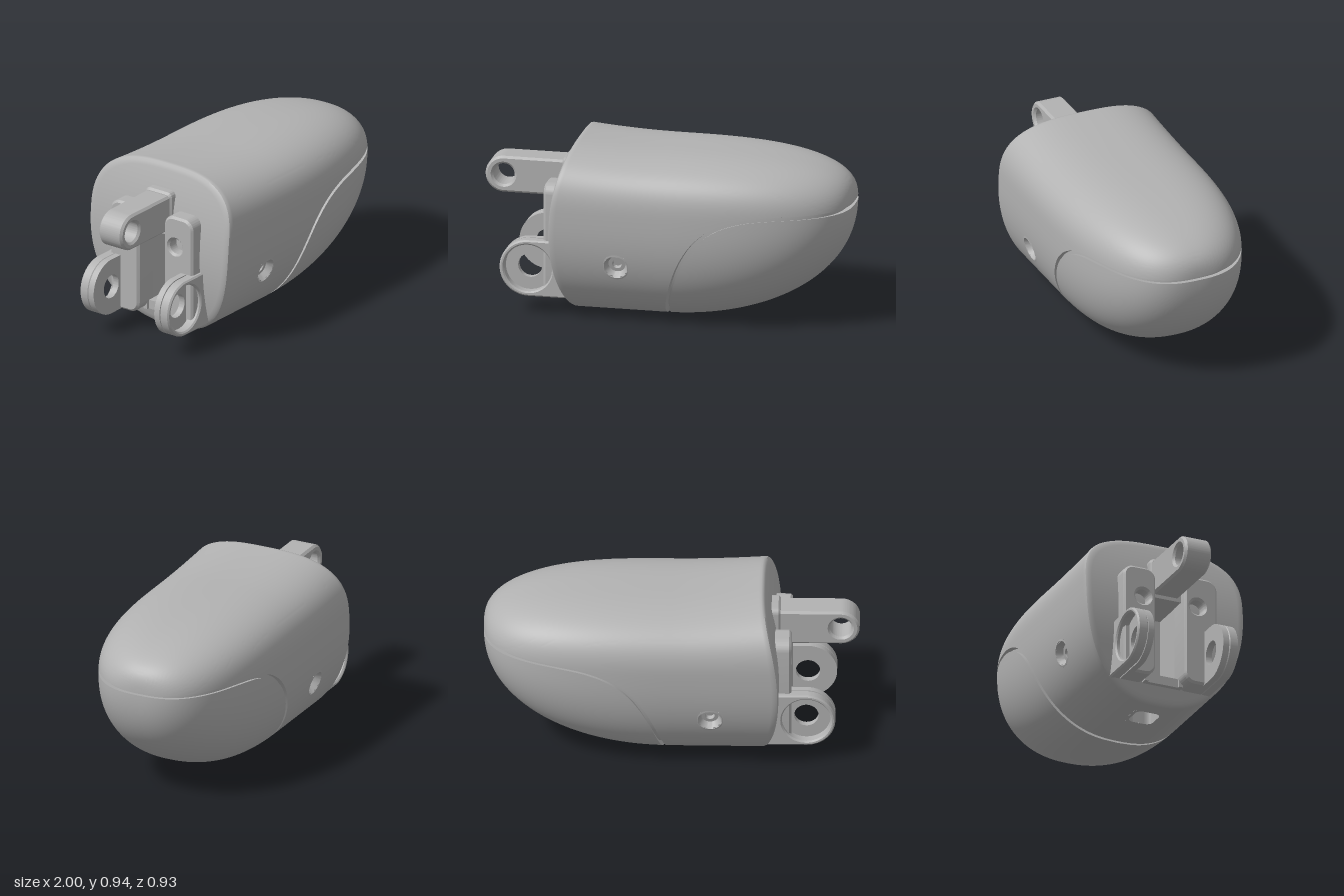
import * as THREE from 'three';
import { toCreasedNormals } from 'three/addons/utils/BufferGeometryUtils.js';

const grey = new THREE.MeshStandardMaterial({ color: 0xb2b2b2, side: THREE.DoubleSide });
grey.name = 'grey plastic';
const V = (x, y, z) => new THREE.Vector3(x, y, z);
const SEG = 160;
const H = Math.PI / 2;

// Cross-section of the fingertip at x: top, bottom, widest height, half width
function section(x) {
  const c = Math.min(Math.max(x, 0), 1);
  const top = 0.652 + 0.263 * (1 - c ** 3) ** 0.33 + (x < 0 ? 0.027 * (x / 0.48) ** 2 : 0);
  const bottom = 0.652 - 0.65 * (1 - c * c) ** 0.45;
  const mid = 0.6 + 0.052 * c * c;
  return {
    mid, up: top - mid, down: mid - bottom, w: 0.465 * (1 - c ** 2.6) ** 0.38,
    nUp: 2.9 - 0.8 * c ** 3, nDown: 2.4 - 0.3 * c ** 3,
  };
}

// The rear end bulges backwards at mid height
const bulge = (y) => 0.09 * (1 - ((y - 0.48) / 0.48) ** 2);
const endX = (y) => -0.485 - bulge(y);

function pointAt(x, a) {
  const s = section(x), sn = Math.sin(a), cs = Math.cos(a);
  const e = 2 / (sn > 0 ? s.nUp : s.nDown);
  const y = s.mid + Math.sign(sn) * Math.abs(sn) ** e * (sn > 0 ? s.up : s.down);
  const z = s.w * Math.sign(cs) * Math.abs(cs) ** e;
  const k = x < 0 ? (x / 0.485) ** 2 : 0;
  return V(x - k * bulge(y), y, z);
}

// Angle on the section where the outline reaches height y
function angleAt(x, y) {
  const s = section(x), above = y > s.mid;
  const v = Math.min(1, Math.abs(y - s.mid) / Math.max(above ? s.up : s.down, 1e-4));
  const a = Math.asin(Math.min(1, v ** ((above ? s.nUp : s.nDown) / 2)));
  return above ? a : -a;
}

const inset = (p, k) => p.clone().lerp(V(0.3, 0.5, 0), k);

// Full turn from angle `from`, trimmed to lo..hi so that neighbouring rings stay aligned
function arc(x, from, lo = from, hi = from + 4 * H) {
  return Array.from({ length: SEG + 1 }, (_, j) =>
    pointAt(x, Math.min(hi, Math.max(lo, from + 4 * H * j / SEG))));
}
// Trimmed ring with a wall turned inwards at both ends
function walled(x, from, lo, hi) {
  const r = arc(x, from, lo, hi);
  return [inset(r[0], 0.06), ...r, inset(r[SEG], 0.06)];
}

function mesh(name, geo) {
  const m = new THREE.Mesh(geo, grey);
  m.name = name;
  return m;
}

// Skin through rings of equal length, leaving out quads inside openings
function loft(name, rings, open = () => false) {
  const n = rings[0].length, idx = [], pos = [];
  rings.forEach((r) => r.forEach((p) => pos.push(p.x, p.y, p.z)));
  const add = (i, j, k) => {
    const [p, q, r] = [i, j, k].map((v) => V(...pos.slice(v * 3, v * 3 + 3)));
    if (q.sub(p).cross(r.sub(p)).length() > 1e-10) idx.push(i, j, k);
  };
  for (let i = 0; i < rings.length - 1; i++) {
    for (let j = 0; j < n - 1; j++) {
      const c = rings[i][j].clone().add(rings[i + 1][j + 1]).multiplyScalar(0.5);
      if (open(c)) continue;
      const a = i * n + j, b = a + n;
      add(a, b, b + 1);
      add(a, b + 1, a + 1);
    }
  }
  const g = new THREE.BufferGeometry();
  g.setAttribute('position', new THREE.Float32BufferAttribute(pos, 3));
  g.setIndex(idx);
  return mesh(name, toCreasedNormals(g, 0.6));
}

function extrude(shape, depth, bevel = 0) {
  const g = new THREE.ExtrudeGeometry(shape, {
    depth: depth - 2 * bevel, bevelEnabled: bevel > 0, bevelSize: bevel, bevelThickness: bevel,
    bevelOffset: -bevel, bevelSegments: 1, curveSegments: 32,
  });
  return toCreasedNormals(g.translate(0, 0, bevel), 0.6);
}

const circle = (x, y, r) => new THREE.Path().absarc(x, y, r, 0, Math.PI * 2, true);

// Arm with a round left end at (cx, cy), running right to x = end
function armShape(cx, cy, r, hole, end) {
  const s = new THREE.Shape();
  s.moveTo(end, cy - r).lineTo(end, cy + r).lineTo(cx, cy + r);
  s.absarc(cx, cy, r, H, 3 * H, false);
  s.holes.push(circle(cx, cy, hole));
  return s;
}

function roundRect(x0, y0, x1, y1, r, Type = THREE.Shape) {
  const s = new Type();
  s.absarc(x1 - r, y0 + r, r, -H, 0, false);
  s.absarc(x1 - r, y1 - r, r, 0, H, false);
  s.absarc(x0 + r, y1 - r, r, H, 2 * H, false);
  s.absarc(x0 + r, y0 + r, r, 2 * H, 3 * H, false);
  s.closePath();
  return s;
}

function box(name, x0, x1, y0, y1, z0, z1) {
  const g = new THREE.BoxGeometry(x1 - x0, y1 - y0, z1 - z0);
  return mesh(name, g.translate((x0 + x1) / 2, (y0 + y1) / 2, (z0 + z1) / 2));
}

export function createModel() {
  const model = new THREE.Group();
  model.name = 'fingertip';

  // Seam between the cover and the finger pad, closed to a point at the tip
  const seam = new THREE.CatmullRomCurve3([
    [0.012, -0.03], [0.05, 0.13], [0.1, 0.29], [0.15, 0.4], [0.22, 0.5], [0.32, 0.58],
    [0.45, 0.63], [0.6, 0.65], [0.8, 0.655], [0.9995, 0.655],
  ].map(([x, y]) => V(x, y, 0)));
  const seamRings = (side, build) => {
    const rings = Array.from({ length: 111 }, (_, k) => {
      const u = (1 - Math.cos(Math.PI * k / 110)) / 2;
      const p = seam.getPointAt(u), t = seam.getTangentAt(u);
      const x = Math.min(0.9995, p.x - t.y * 0.01 * side), y = p.y + t.x * 0.01 * side;
      return build(x, angleAt(x, y));
    });
    const tip = V(1, 0.655 + 0.01 * side, 0);
    rings.push(rings[0].map((_, j) => (j === 0 || j === SEG + 2 ? inset(tip, 0.06) : tip)));
    return rings;
  };

  // Cover: rear cap, rounded rim, full rings, then arcs above the seam
  const cover = [];
  const rear = walled(-0.485, -H);
  const capRing = (s, dx) => rear.map((p) => {
    const y = 0.5 + (p.y - 0.5) * s;
    return V(endX(y) + dx, y, p.z * s);
  });
  for (let i = 0; i <= 22; i++) cover.push(capRing(0.965 * i / 22, 0));
  cover.push(capRing(0.99, 0.006));
  for (let i = 0; i <= 38; i++) cover.push(walled(-0.47 + i * 0.0122, -H));
  cover.push(...seamRings(1, (x, a) => walled(x, -H, a, 2 * H - a)));
  model.add(loft('cover', cover, (c) =>
    (Math.abs(c.z) > 0.3 && Math.hypot(c.x + 0.21, c.y - 0.34) < 0.064)
    || (c.y < 0.05 && Math.abs(c.x + 0.31) < 0.075 && Math.abs(c.z) < 0.072)
    || (c.x < -0.5 && Math.abs(c.z) < 0.1 && c.y > 0.13 && c.y < 0.6)));

  // Pad below the seam and the groove floor behind the gap
  model.add(loft('fingerPad', seamRings(-1, (x, a) => walled(x, H, 2 * H - a, 4 * H + a))));
  const floor = [];
  for (let i = 0; i <= 40; i++) {
    const x = -0.1 + 1.1 * (1 - (1 - i / 40) ** 2);
    floor.push(arc(x, -H).map((p) => inset(p, 0.05)));
  }
  model.add(loft('grooveFloor', floor));

  // Countersunk screw holes on both sides
  const cup = [[0, -0.055], [0.022, -0.055], [0.026, -0.035], [0.046, -0.035], [0.054, -0.02],
    [0.066, 0.001], [0.075, -0.001]].map(([r, y]) => new THREE.Vector2(r, y));
  const cupGeo = toCreasedNormals(new THREE.LatheGeometry(cup, 40).rotateX(H + 0.26), 0.5);
  for (const s of [1, -1]) {
    const hole = mesh('screwHole', cupGeo);
    hole.position.set(-0.21, 0.34, 0.437 * s);
    hole.rotation.y = s > 0 ? 0 : Math.PI;
    model.add(hole);
  }

  // Slot in the underside
  const slot = roundRect(-0.4, -0.085, -0.22, 0.085, 0.045);
  slot.holes.push(roundRect(-0.38, -0.068, -0.24, 0.068, 0.035, THREE.Path));
  model.add(mesh('bottomSlot', extrude(slot, 0.09).rotateX(-H).translate(0, 0.005, 0)));
  model.add(box('slotFloor', -0.4, -0.22, 0.085, 0.095, -0.085, 0.085));

  // Cavity in the rear face
  model.add(box('cavityBack', -0.32, -0.3, 0.1, 0.62, -0.11, 0.11));
  model.add(box('cavityFloor', -0.545, -0.3, 0.1, 0.15, -0.11, 0.11));
  model.add(box('cavityRoof', -0.59, -0.3, 0.58, 0.62, -0.11, 0.11));

  for (const s of [1, -1]) {
    model.add(box('cavityWall', -0.56, -0.3, 0.1, 0.62, s * 0.1 - 0.012, s * 0.1 + 0.012));

    // Raised rail beside the cavity, with a hole facing backwards
    const rail = roundRect(s > 0 ? 0.085 : -0.275, 0.1, s > 0 ? 0.275 : -0.085, 0.72, 0.06);
    rail.holes.push(circle(s * 0.16, 0.55, 0.042));
    model.add(mesh('rearRail', extrude(rail, 0.14, 0.012).rotateY(-H).translate(-0.5, 0, 0)));

    // Hinge lug: thin web inside, counterbored ring outside
    const web = extrude(armShape(-0.72, 0.255, 0.155, 0.065, -0.48), 0.035);
    const ring = extrude(armShape(-0.72, 0.255, 0.155, 0.13, -0.48), 0.06, 0.008);
    model.add(mesh('hingeLugWeb', web.translate(0, 0, s > 0 ? 0.2 : -0.24)));
    model.add(mesh('hingeLugRing', ring.translate(0, 0, s > 0 ? 0.234 : -0.299)));
  }

  // Central upper link and its thicker root
  const link = extrude(armShape(-0.9, 0.7, 0.1, 0.058, -0.46), 0.155, 0.012);
  model.add(mesh('centreLink', link.translate(0, 0, -0.08)));
  const root = extrude(roundRect(-0.09, 0.585, 0.085, 0.815, 0.03), 0.12, 0.012);
  model.add(mesh('linkRoot', root.rotateY(-H).translate(-0.46, 0, 0)));
  return model;
}
